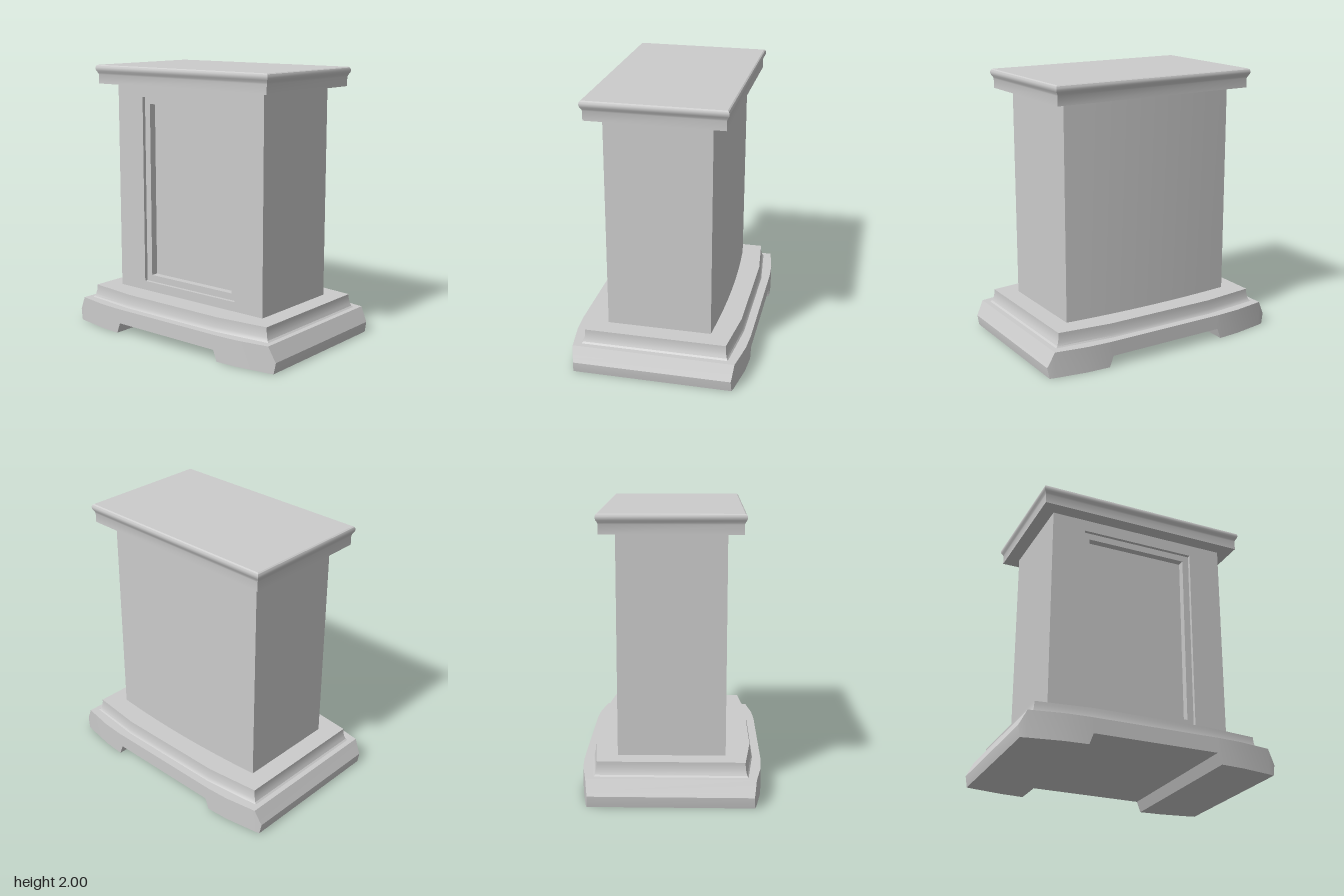
import * as THREE from 'three';
import { toCreasedNormals } from 'three/addons/utils/BufferGeometryUtils.js';

const material = new THREE.MeshStandardMaterial({ color: 0xcccccc });

function addMesh(group, name, geometry) {
  const mesh = new THREE.Mesh(geometry, material);
  mesh.name = name;
  group.add(mesh);
}

// Skin a stack of equal-length convex rings and cap both ends
function loft(rings) {
  const n = rings[0].length;
  const index = [];
  for (let r = 0; r < rings.length - 1; r++) {
    for (let i = 0; i < n; i++) {
      const a = r * n + i, b = r * n + (i + 1) % n;
      index.push(a, b, b + n, a, b + n, a + n);
    }
  }
  const last = (rings.length - 1) * n;
  for (let i = 1; i < n - 1; i++) {
    index.push(0, i + 1, i, last, last + i, last + i + 1);
  }
  const geometry = new THREE.BufferGeometry();
  geometry.setAttribute('position', new THREE.Float32BufferAttribute(rings.flat(2), 3));
  geometry.setIndex(index);
  return toCreasedNormals(geometry, 0.45);
}

// Mirror a quarter outline of [x, z] points (end to side) into a full ring at height y
function mirroredRing(quarter, y) {
  const back = [...quarter].reverse();
  return [
    ...quarter.map(([x, z]) => [x, y, z]),
    ...back.map(([x, z]) => [x, y, -z]),
    ...quarter.map(([x, z]) => [-x, y, -z]),
    ...back.map(([x, z]) => [-x, y, z]),
  ];
}

// Rectangular frame on the left-out side, from depth x0 outwards
function frame(x0, thickness, z, y0, y1) {
  const rect = (target, hz, bottom, top) => {
    target.moveTo(-hz, bottom);
    target.lineTo(hz, bottom);
    target.lineTo(hz, top);
    target.lineTo(-hz, top);
    target.closePath();
    return target;
  };
  const shape = rect(new THREE.Shape(), 0.69, 0.29, 1.86);
  shape.holes.push(rect(new THREE.Path(), z, y0, y1));
  const geometry = new THREE.ExtrudeGeometry(shape, { depth: thickness, bevelEnabled: false });
  geometry.rotateY(-Math.PI / 2);
  geometry.translate(x0, 0, 0);
  return geometry;
}

export function createModel() {
  const group = new THREE.Group();
  group.name = 'pedestal';

  // Plinth: sections along z as [z, bottom, top, half width], arched underneath
  const half = [
    [0.955, 0.08, 0.081, 0.575],
    [0.94, 0, 0.11, 0.58],
    [0.90, 0, 0.19, 0.59],
    [0.66, 0, 0.19, 0.63],
    [0.49, 0, 0.19, 0.64],
    [0.46, 0.08, 0.19, 0.64],
  ];
  const sections = [
    ...half.map(([z, ...rest]) => [-z, ...rest]),
    ...[...half].reverse(),
  ];
  addMesh(group, 'plinth', loft(sections.map(([z, bottom, top, w]) =>
    [[-w, bottom, z], [w, bottom, z], [w, top, z], [-w, top, z]])));

  // Coved moulding between plinth and column: [outward amount, height]
  const cove = [[1, 0.18], [1, 0.19], [0.6, 0.2], [0.3, 0.22], [0.1, 0.245], [0, 0.27], [0, 0.29]];
  addMesh(group, 'baseMoulding', loft(cove.map(([k, y]) =>
    mirroredRing([[0.515 + 0.02 * k, 0.83 + 0.03 * k], [0.56 + 0.02 * k, 0.43]], y))));

  // Column body with one gently bowed side
  const outline = [[-0.30, -0.69], [-0.30, 0.69]];
  const steps = 8;
  for (let i = 0; i <= steps; i++) {
    const t = 1 - 2 * i / steps;
    outline.push([0.38 + 0.03 * (1 - t * t), 0.69 * t]);
  }
  addMesh(group, 'columnBody', loft([0.29, 1.86].map(y => outline.map(([x, z]) => [x, y, z]))));

  // Stepped frames around the recessed panel on the flat side
  addMesh(group, 'innerPanelFrame', frame(-0.30, 0.054, 0.39, 0.41, 1.72));
  addMesh(group, 'outerPanelFrame', frame(-0.354, 0.026, 0.44, 0.36, 1.77));

  // Top slab with a flared, rounded lip: [outward amount, height]
  const lip = [[0, 1.86], [0, 1.928], [0.004, 1.94], [0.013, 1.955], [0.018, 1.968],
    [0.018, 1.982], [0.013, 1.994], [0.004, 2]];
  addMesh(group, 'topSlab', loft(lip.map(([d, y]) => mirroredRing([[0.485 + d, 0.79 + d]], y))));

  return group;
}
